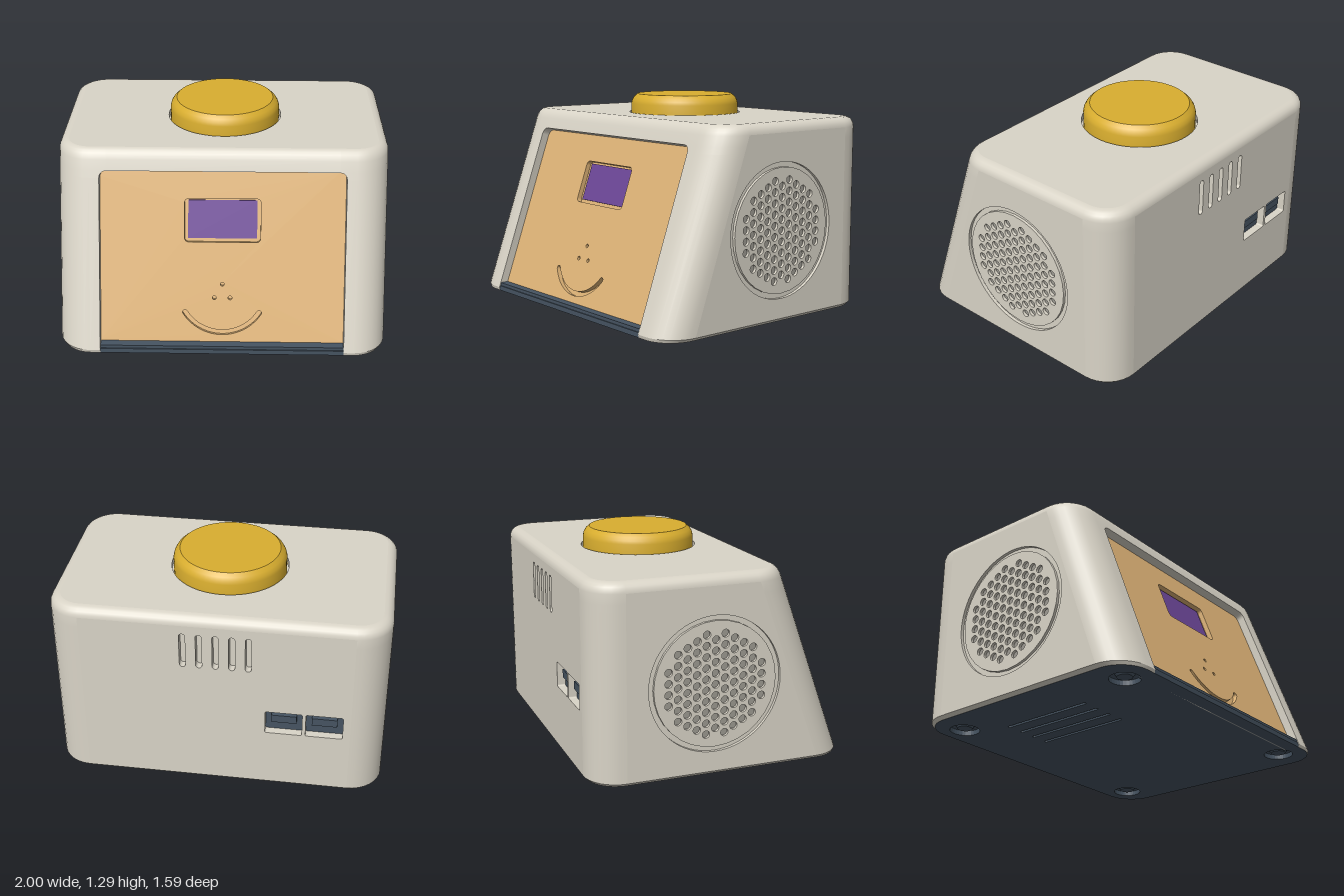
import * as THREE from 'three';
import { toCreasedNormals } from 'three/addons/utils/BufferGeometryUtils.js';

const mat = (name, color) => {
  const m = new THREE.MeshStandardMaterial({ color });
  m.name = name;
  return m;
};

// Overall proportions of the sloped case
const SLOPE = 0.359, TILT = Math.atan(SLOPE), COS = Math.cos(TILT), SIN = Math.sin(TILT);
const TOP = 1.177, BACK = -0.795, EDGE = 0.06, CORNER = 0.2, SEG = 8;
const frontZ = (y) => 0.804 - SLOPE * y;

// Rounded outline of the case at one height, front -> +x -> back -> -x
function outline(y, inset) {
  const zf = frontZ(y) - inset * 0.6, zb = BACK + inset, hx = 1 - inset, r = CORNER - inset;
  const centres = [[hx - r, zf - r], [hx - r, zb + r], [r - hx, zb + r], [r - hx, zf - r]];
  const pts = [];
  centres.forEach(([cx, cz], q) => {
    for (let i = 0; i <= SEG; i++) {
      const t = (q + i / SEG) * Math.PI / 2;
      pts.push([cx + r * Math.sin(t), y, cz + r * Math.cos(t)]);
    }
  });
  return pts;
}

// Case skin: stacked outlines with a notch for the front panel; flat sides and back are left open
function shellGeometry() {
  const depth = 0.1, levels = [[0, 0.02, depth, 0.74], [0.02, 0, depth, 0.74]];
  for (let i = 0; i <= 4; i++) {
    const a = i * Math.PI / 8;
    levels.push([1.055 - 0.04 * (1 - Math.sin(a)), 0, depth, 0.74 - 0.04 * (1 - Math.cos(a))]);
  }
  levels.push([1.055, 0, 0, 0.7]);
  for (let i = 0; i <= 5; i++) {
    const a = i * Math.PI / 10;
    levels.push([TOP - EDGE * (1 - Math.sin(a)), EDGE * (1 - Math.cos(a)), 0, 0.7]);
  }
  const rings = levels.map(([y, inset, d, w]) => {
    const zf = frontZ(y) - inset * 0.6, yi = Math.max(0, y - d * SIN), zi = zf - d * COS;
    return [[-w, y, zf], [-w, yi, zi], [w, yi, zi], [w, y, zf], ...outline(y, inset)];
  });
  const n = rings[0].length, open = [1, 2, 3].map((q) => 3 + q * (SEG + 1));
  const pos = [];
  for (let j = 0; j < rings.length - 1; j++) {
    const flat = levels[j][0] >= 0.02 && levels[j + 1][0] <= TOP - EDGE + 1e-6;
    for (let i = 0; i < n; i++) {
      if (flat && open.includes(i)) continue;
      const k = (i + 1) % n;
      const a = rings[j][i], b = rings[j][k], c = rings[j + 1][k], d = rings[j + 1][i];
      pos.push(...a, ...b, ...c, ...a, ...c, ...d);
    }
  }
  const g = new THREE.BufferGeometry();
  g.setAttribute('position', new THREE.Float32BufferAttribute(pos, 3));
  return toCreasedNormals(g, 0.5);
}

function roundRect(x0, y0, x1, y1, r) {
  const s = new THREE.Shape();
  s.absarc(x1 - r, y0 + r, r, -Math.PI / 2, 0);
  s.absarc(x1 - r, y1 - r, r, 0, Math.PI / 2);
  s.absarc(x0 + r, y1 - r, r, Math.PI / 2, Math.PI);
  s.absarc(x0 + r, y0 + r, r, Math.PI, Math.PI * 1.5);
  s.closePath();
  return s;
}
const circle = (x, y, r) => new THREE.Shape().absarc(x, y, r, 0, Math.PI * 2);
const polygon = (pts) => new THREE.Shape(pts.map((p) => new THREE.Vector2(...p)));
const plate = (shape, depth, curveSegments = 8) =>
  new THREE.ExtrudeGeometry(shape, { depth, bevelEnabled: false, curveSegments });

export function createModel() {
  const shell = mat('warm grey shell', 0xd9d4c7);
  const tan = mat('tan panel', 0xdeb377);
  const gold = mat('gold button', 0xd9ae2f);
  const purple = mat('purple screen', 0x6c4697);
  const slate = mat('dark slate base', 0x465462);
  const shade = mat('grille grey', 0x9c9991);

  const model = new THREE.Group();
  model.name = 'deskBox';
  const add = (parent, name, geo, material, x = 0, y = 0, z = 0) => {
    const m = new THREE.Mesh(geo, material);
    m.name = name;
    m.position.set(x, y, z);
    parent.add(m);
    return m;
  };
  const group = (name) => {
    const g = new THREE.Group();
    g.name = name;
    model.add(g);
    return g;
  };

  // Case skin and top with button opening
  add(model, 'caseShell', shellGeometry(), shell);
  const BZ = -0.172;
  const topShape = polygon(outline(TOP, EDGE).map(([x, , z]) => [x, -z]));
  topShape.holes.push(circle(0, -BZ, 0.355));
  add(model, 'caseTop', new THREE.ShapeGeometry(topShape, 32).rotateX(-Math.PI / 2), shell, 0, TOP, 0);

  // Button in its well
  const lathe = (pts) => toCreasedNormals(
    new THREE.LatheGeometry(pts.map((p) => new THREE.Vector2(...p)), 64), 0.5);
  add(model, 'buttonWell', lathe([[0.355, TOP], [0.355, 1.14], [0, 1.14]]), shell, 0, 0, BZ);
  add(model, 'button', lathe([[0.343, 1.14], [0.343, 1.235], [0.338, 1.255], [0.326, 1.275],
    [0.303, 1.295], [0, 1.295]]), gold, 0, 0, BZ);

  // Speaker sides: sloped wall, ring groove and perforated disc
  for (const s of [1, -1]) {
    const side = group(s > 0 ? 'leftSide' : 'rightSide');
    side.rotation.y = s * Math.PI / 2;
    side.position.x = s;
    const yt = TOP - EDGE, cx = 0.064 * s, cy = 0.545;
    const wall = polygon([[-s * (frontZ(0.02) - CORNER), 0.02], [-s * (BACK + CORNER), 0.02],
      [-s * (BACK + CORNER), yt], [-s * (frontZ(yt) - CORNER), yt]]);
    wall.holes.push(circle(cx, cy, 0.404));
    add(side, 'sideWall', plate(wall, 0.02, 32), shell, 0, 0, -0.02);
    add(side, 'grooveFloor', new THREE.RingGeometry(0.34, 0.41, 64), shell, cx, cy, -0.0195);
    add(side, 'grilleBacking', new THREE.CircleGeometry(0.36, 48), shade, cx, cy, -0.018);
    const grille = circle(0, 0, 0.374);
    for (let c = -5; c <= 5; c++) {
      for (let r = -5; r <= 5; r++) {
        const x = c * 0.057, y = (r + (c % 2 ? 0.5 : 0)) * 0.0655;
        if (Math.hypot(x, y) < 0.31) grille.holes.push(circle(x, y, 0.023));
      }
    }
    add(side, 'speakerGrille', plate(grille, 0.017, 16), shell, cx, cy, -0.017);
  }

  // Back wall with vents and two sockets
  const back = group('back');
  back.rotation.y = Math.PI;
  back.position.z = BACK;
  const wall = polygon([[-0.8, 0.02], [0.8, 0.02], [0.8, TOP - EDGE], [-0.8, TOP - EDGE]]);
  for (let i = -2; i <= 2; i++) {
    wall.holes.push(roundRect(i * 0.096 - 0.018, 0.835, i * 0.096 + 0.018, 1.063, 0.0175));
  }
  for (const x of [0.404, 0.645]) {
    wall.holes.push(roundRect(x - 0.11, 0.4, x + 0.11, 0.555, 0.01));
    add(back, 'socketBacking', new THREE.BoxGeometry(0.23, 0.17, 0.01), slate, x, 0.478, -0.055);
    add(back, 'socketTongue', new THREE.BoxGeometry(0.15, 0.05, 0.03), slate, x, 0.49, -0.04);
  }
  add(back, 'backWall', plate(wall, 0.05), shell, 0, 0, -0.05);
  add(back, 'ventBacking', new THREE.BoxGeometry(0.46, 0.26, 0.01), shell, 0, 0.95, -0.055);

  // Recessed face panel, laid along the slope
  const face = group('facePanel');
  face.position.z = frontZ(0);
  face.rotation.x = -TILT;
  const v = (y) => (y + 0.05 * SIN) / COS;
  const panel = roundRect(-0.74, 0.035, 0.74, 1.055 / COS, 0.04);
  panel.holes.push(roundRect(-0.23, v(0.63), 0.23, v(0.88), 0.025));
  for (const [x, y] of [[0, 0.387], [-0.048, 0.307], [0.048, 0.307]]) {
    panel.holes.push(circle(x, v(y), 0.012));
  }
  const smile = new THREE.Shape(), R = 0.268, cy = v(0.105) + R, a0 = -2.57, a1 = Math.PI - 0.0 - 3.7132;
  smile.absarc(0, cy, R + 0.015, a0, a1, false);
  smile.absarc(R * Math.cos(a1), cy + R * Math.sin(a1), 0.015, a1, a1 + Math.PI, false);
  smile.absarc(0, cy, R - 0.015, a1, a0, true);
  smile.absarc(R * Math.cos(a0), cy + R * Math.sin(a0), 0.015, a0 + Math.PI, a0 + Math.PI * 2, false);
  panel.holes.push(smile);
  add(face, 'panel', plate(panel, 0.03, 16), tan, 0, 0, -0.08);
  add(face, 'panelBacking', new THREE.BoxGeometry(1.4, 1, 0.01), tan, 0, 0.58, -0.085);
  add(face, 'screen', new THREE.BoxGeometry(0.418, 0.234, 0.008), purple, 0, v(0.75) + 0.01, -0.077);

  // Base plate with foot wells, slots and front lip
  const base = group('base');
  const lay = (geo) => geo.rotateX(-Math.PI / 2);
  const floorPts = outline(0, 0.02).map(([x, , z]) => [x, -z]);
  const floor = polygon(floorPts);
  for (const x of [-0.78, 0.78]) {
    for (const z of [-0.62, 0.62]) {
      floor.holes.push(circle(x, -z, 0.09));
      add(base, 'foot', new THREE.CylinderGeometry(0.06, 0.045, 0.025, 24), slate, x, 0.0225, z);
    }
  }
  for (let i = 0; i < 4; i++) {
    const x = -0.33 - i * 0.107;
    floor.holes.push(roundRect(x - 0.01, -0.23, x + 0.01, 0.38, 0.0095));
  }
  add(base, 'basePlate', lay(plate(floor, 0.03, 16)), slate);
  const inner = polygon(floorPts.map(([x, y]) => [x * 0.96, y * 0.96]));
  add(base, 'baseBacking', lay(plate(inner, 0.005)), slate, 0, 0.03, 0);
  add(base, 'frontLip', new THREE.BoxGeometry(1.478, 0.049, 0.1), slate, 0, 0.0255, 0.735);

  return model;
}
